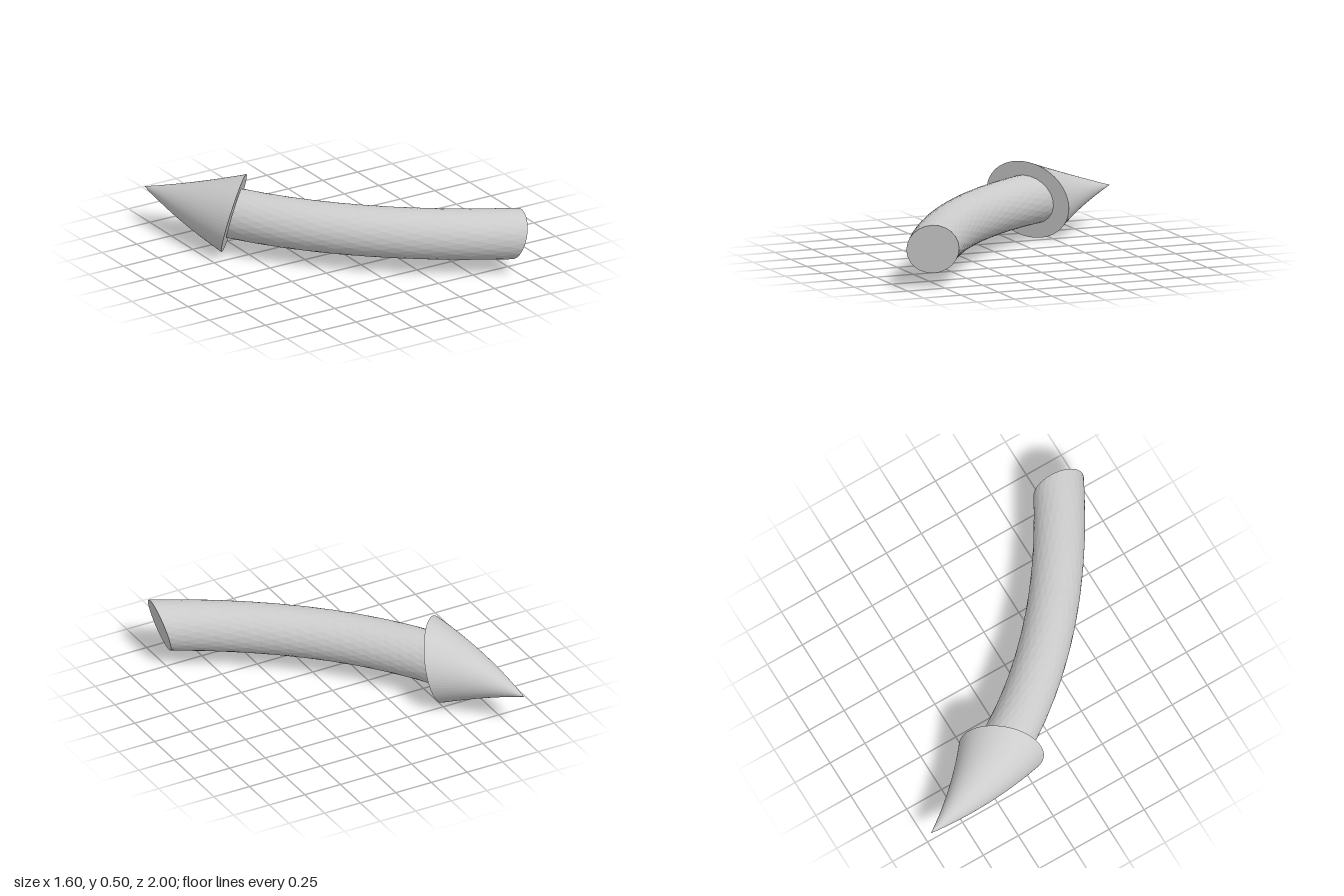
import * as THREE from 'three';

const HEIGHT = 0.25;      // height of the centre line
const SLANT_SIDE = 0.34;  // how far sections lean along the path, sideways
const SLANT_UP = 0.28;    // and upwards

const path = (...pts) =>
  new THREE.QuadraticBezierCurve3(...pts.map(([x, z]) => new THREE.Vector3(x, HEIGHT, z)));

// Sweeps slanted round sections along a curve, with a flat cap at the start.
function sweep(curve, radiusAt, sides, rings, stagger) {
  const up = new THREE.Vector3(0, 1, 0);
  const point = (i, j) => {
    const t = i / rings, r = radiusAt(t);
    const angle = ((j + stagger * i) / sides) * Math.PI * 2;
    const c = Math.cos(angle) * r, s = Math.sin(angle) * r;
    const back = curve.getTangent(t).negate();
    const side = new THREE.Vector3(-back.z, 0, back.x);
    return curve.getPoint(t)
      .addScaledVector(side, c)
      .addScaledVector(up, s)
      .addScaledVector(back, SLANT_SIDE * c + SLANT_UP * s);
  };
  const positions = [];
  const triangle = (...corners) => corners.forEach((p) => positions.push(p.x, p.y, p.z));
  const start = curve.getPoint(0);
  for (let j = 0; j < sides; j++) {
    triangle(start, point(0, j + 1), point(0, j));
    for (let i = 0; i < rings; i++) {
      const a = point(i, j), b = point(i, j + 1), c = point(i + 1, j), d = point(i + 1, j + 1);
      triangle(a, b, c);
      if (radiusAt((i + 1) / rings) > 0) triangle(b, d, c);
    }
  }
  const geometry = new THREE.BufferGeometry();
  geometry.setAttribute('position', new THREE.Float32BufferAttribute(positions, 3));
  geometry.computeVertexNormals();
  return geometry;
}

export function createModel() {
  const group = new THREE.Group();
  group.name = 'curvedArrow';
  const material = new THREE.MeshStandardMaterial({ color: 0xcccccc, flatShading: true });
  const add = (name, geometry) => {
    const mesh = new THREE.Mesh(geometry, material);
    mesh.name = name;
    group.add(mesh);
  };

  // Bent round shaft with diamond-shaped facets
  const shaftPath = path([0.752, 0.833], [-0.135, 0.359], [-0.545, -0.35]);
  add('shaft', sweep(shaftPath, () => 0.158, 24, 20, 0.5));

  // Pointed head that carries on the bend
  const headPath = path([-0.545, -0.35], [-0.71, -0.653], [-0.79, -1]);
  add('arrowHead', sweep(headPath, (t) => 0.25 * (1 - t), 64, 16, 0));

  return group;
}
